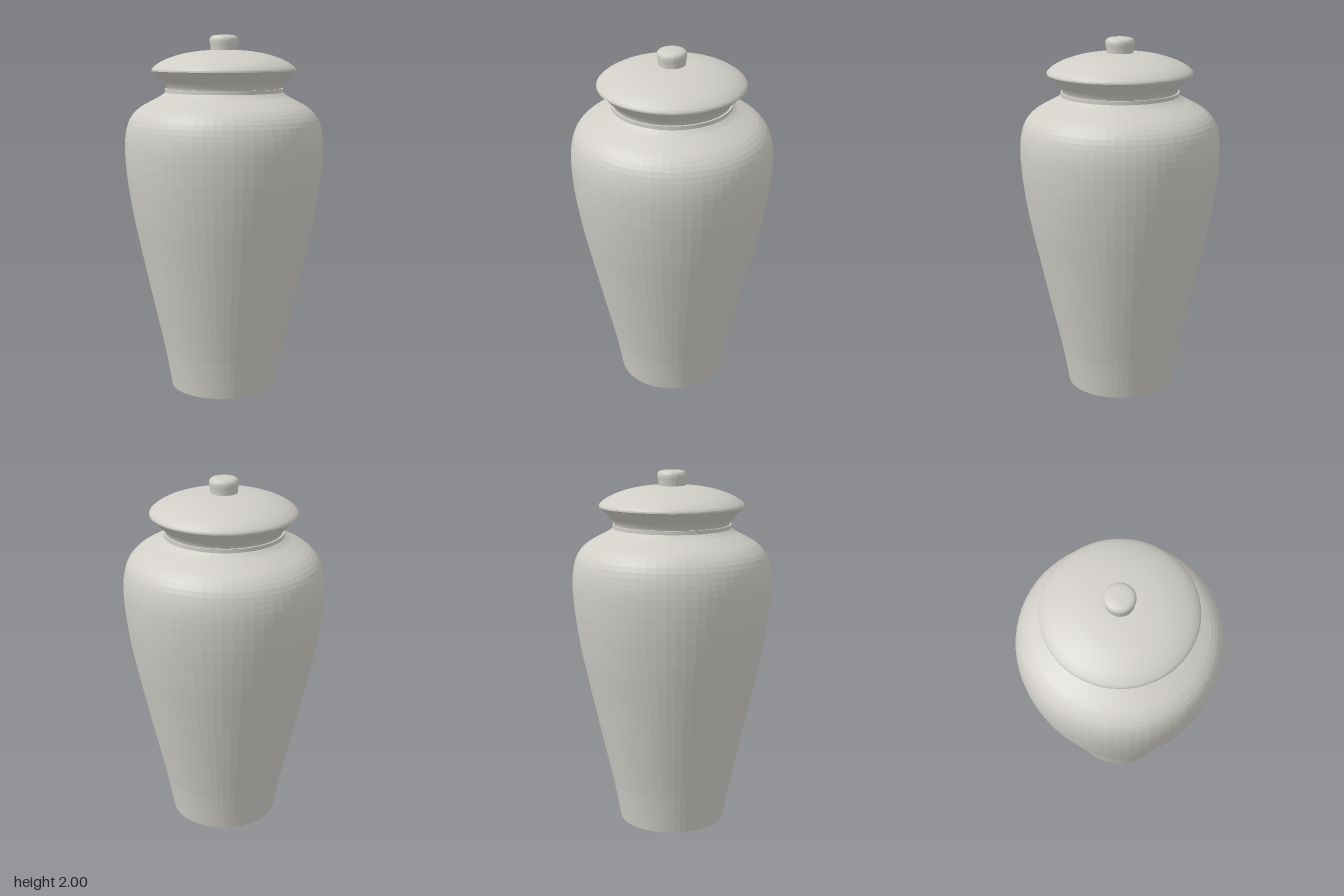
import * as THREE from 'three';
import { toCreasedNormals } from 'three/addons/utils/BufferGeometryUtils.js';

const SEGMENTS = 64;
const points = (list) => list.map(([r, y]) => new THREE.Vector2(r, y));

// Turn a profile (bottom to top); edges sharper than the crease angle stay crisp
function turned(name, profile, material, crease) {
  const geometry = toCreasedNormals(new THREE.LatheGeometry(profile, SEGMENTS), crease);
  const mesh = new THREE.Mesh(geometry, material);
  mesh.name = name;
  return mesh;
}

export function createModel() {
  const group = new THREE.Group();
  group.name = 'liddedJar';
  const ceramic = new THREE.MeshStandardMaterial({ color: 0xd0cec7 });
  ceramic.name = 'paleCeramic';

  // Tapered body with full shoulders, faceted
  const wall = new THREE.SplineCurve(points([
    [0.30, 0], [0.336, 0.2], [0.381, 0.4], [0.426, 0.6], [0.47, 0.8], [0.512, 1.0],
    [0.543, 1.2], [0.555, 1.36], [0.549, 1.46], [0.525, 1.54], [0.475, 1.597],
    [0.405, 1.638], [0.355, 1.664], [0.328, 1.685],
  ])).getPoints(36);
  group.add(turned('body', [new THREE.Vector2(0, 0), ...wall], ceramic, 0.02));

  // Upright neck band with a small ledge
  group.add(turned('neckBand', points([
    [0.328, 1.675], [0.328, 1.706], [0.312, 1.706],
  ]), ceramic, 0.5));

  // Flared rim under the lid
  group.add(turned('flaredRim', points([
    [0.318, 1.706], [0.322, 1.72], [0.34, 1.741], [0.37, 1.772], [0.397, 1.8],
  ]), ceramic, 0.5));

  // Domed lid with a thin edge
  const dome = new THREE.SplineCurve(points([
    [0.402, 1.803], [0.398, 1.818], [0.365, 1.845], [0.31, 1.872],
    [0.23, 1.897], [0.14, 1.912], [0.06, 1.917], [0, 1.918],
  ])).getPoints(28);
  group.add(turned('lid', [new THREE.Vector2(0, 1.8), new THREE.Vector2(0.395, 1.8), ...dome], ceramic, 0.7));

  // Rounded knob
  group.add(turned('knob', points([
    [0.073, 1.91], [0.074, 1.935], [0.078, 1.955], [0.08, 1.972], [0.077, 1.985],
    [0.069, 1.993], [0.055, 1.998], [0.03, 2.0], [0, 2.0],
  ]), ceramic, 0.8));

  return group;
}
